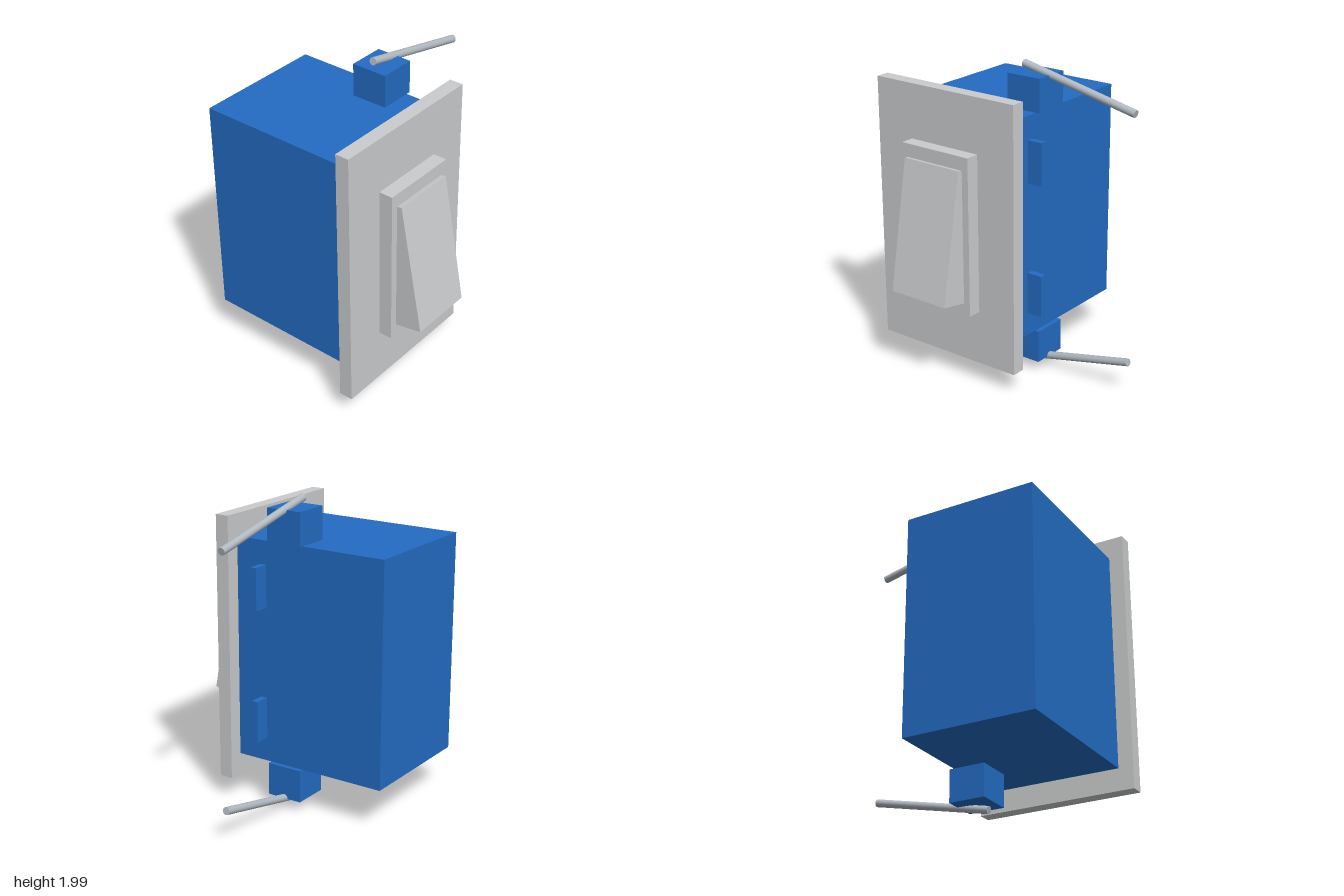
import * as THREE from 'three';

export function createModel() {
  const group = new THREE.Group();
  const material = (name, color) => {
    const m = new THREE.MeshStandardMaterial({ color });
    m.name = name;
    return m;
  };
  const blue = material('blue plastic', 0x236bc2);
  const grey = material('light grey plastic', 0xcacccd);
  const metal = material('wire grey', 0xb0b8c0);

  const add = (name, geometry, mat) => {
    const mesh = new THREE.Mesh(geometry, mat);
    mesh.name = name;
    group.add(mesh);
    return mesh;
  };
  // Box given by its extents along each axis
  const box = (name, mat, [x0, x1], [y0, y1], [z0, z1]) =>
    add(name, new THREE.BoxGeometry(x1 - x0, y1 - y0, z1 - z0), mat)
      .position.set((x0 + x1) / 2, (y0 + y1) / 2, (z0 + z1) / 2);

  // Housing, cover plate and raised frame
  box('housing', blue, [-0.7, 0.158], [0.286, 1.721], [-0.708, 0.345]);
  box('coverPlate', grey, [-0.797, 0.253], [0.143, 1.864], [0.345, 0.435]);
  box('rockerFrame', grey, [-0.528, -0.016], [0.494, 1.514], [0.435, 0.525]);

  // Rocker: box tilted so its lower end stands proud
  const top = new THREE.Vector2(0.557, 1.434), bottom = new THREE.Vector2(0.707, 0.606); // (z, y)
  const length = top.distanceTo(bottom), depth = 0.2;
  const tilt = Math.atan2(bottom.x - top.x, top.y - bottom.y);
  const rocker = add('rocker', new THREE.BoxGeometry(0.42, length, depth), grey);
  rocker.rotation.x = -tilt;
  rocker.position.set(-0.271,
    (top.y + bottom.y) / 2 - Math.sin(tilt) * depth / 2,
    (top.x + bottom.x) / 2 - Math.cos(tilt) * depth / 2);

  // Side tabs
  for (const y of [0.575, 1.434])
    box('sideTab', blue, [0.15, 0.261], [y - 0.136, y + 0.136], [0.129, 0.172]);

  // Terminal blocks
  box('upperTerminal', blue, [-0.052, 0.187], [1.721, 1.933], [-0.142, 0.097]);
  box('lowerTerminal', blue, [-0.052, 0.187], [0.074, 0.286], [-0.142, 0.097]);

  // Wires slanting out of the terminals
  for (const [name, y0, y1] of [['upperWire', 1.975, 1.799], ['lowerWire', 0.031, 0.211]]) {
    const a = new THREE.Vector3(-0.016, y0, -0.022), b = new THREE.Vector3(0.786, y1, -0.022);
    const wire = add(name, new THREE.CylinderGeometry(0.0245, 0.0245, a.distanceTo(b), 24), metal);
    wire.position.addVectors(a, b).multiplyScalar(0.5);
    wire.quaternion.setFromUnitVectors(new THREE.Vector3(0, 1, 0), b.sub(a).normalize());
  }
  return group;
}
